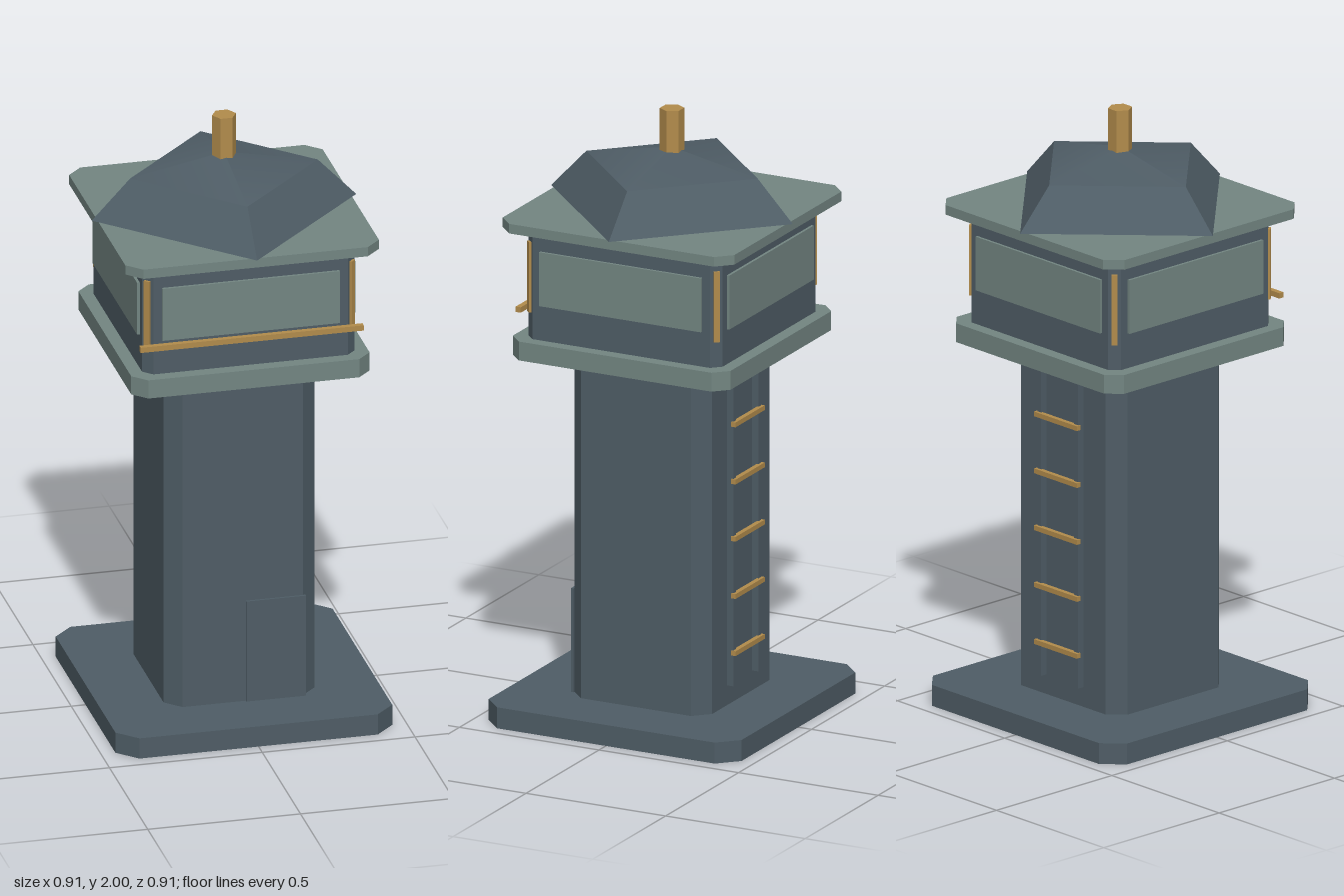
import * as THREE from 'three';

const material = (name, color) => {
  const m = new THREE.MeshStandardMaterial({ color });
  m.name = name;
  return m;
};

export function createModel() {
  const slate = material('slate', 0x4f5d66);
  const pale = material('paleGreenGrey', 0x738682);
  const brass = material('brass', 0xb28c4c);
  const tower = new THREE.Group();
  tower.name = 'watchtower';

  const add = (name, geometry, mat, x = 0, y = 0, z = 0, parent = tower) => {
    const mesh = new THREE.Mesh(geometry, mat);
    mesh.name = name;
    mesh.position.set(x, y, z);
    parent.add(mesh);
    return mesh;
  };
  const box = (w, h, d) => new THREE.BoxGeometry(w, h, d);

  // Square block with cut corners: half width r, cut c, from y0 to y1
  const block = (name, r, c, y0, y1, mat) => {
    const k = r - c;
    const corners = [[r, -k], [r, k], [k, r], [-k, r], [-r, k], [-r, -k], [-k, -r], [k, -r]];
    const shape = new THREE.Shape(corners.map(([x, y]) => new THREE.Vector2(x, y)));
    const g = new THREE.ExtrudeGeometry(shape, { depth: y1 - y0, bevelEnabled: false });
    return add(name, g.rotateX(-Math.PI / 2), mat, 0, y0);
  };
  // Few-sided cylinder with hard edges
  const prism = (top, bottom, height, sides, open = false) => {
    const g = new THREE.CylinderGeometry(top, bottom, height, sides, 1, open).toNonIndexed();
    g.computeVertexNormals();
    return g;
  };

  // Main body, bottom to top
  block('base', 0.453, 0.063, 0, 0.07, slate);
  block('shaft', 0.247, 0.05, 0.07, 1.22, slate);
  block('deck', 0.39, 0.045, 1.217, 1.28, pale);
  block('cabin', 0.348, 0.03, 1.28, 1.645, slate);
  block('eaves', 0.415, 0.048, 1.645, 1.677, pale);

  // Roof turned corner-on to the walls, with a shallow cap
  add('roofSkirt', prism(0.307, 0.433, 0.133, 4), slate, 0, 1.7435);
  add('roofCap', new THREE.ConeGeometry(0.307, 0.06, 4), slate, 0, 1.84);
  const chimney = prism(0.039, 0.039, 0.18, 6).rotateY(Math.PI / 6);
  add('chimney', chimney, brass, 0, 1.91);

  // A window on each side and a brass strip on each cabin corner
  for (let i = 0; i < 4; i++) {
    const side = new THREE.Group();
    side.name = 'cabinSide';
    side.rotation.y = i * Math.PI / 2;
    tower.add(side);
    add('window', box(0.58, 0.18, 0.009), pale, 0, 1.487, 0.3525, side);
    const strip = add('cornerStrip', box(0.02, 0.235, 0.016), brass, 0.333, 1.483, 0.333, side);
    strip.rotation.y = Math.PI / 4;
  }
  add('handrail', box(0.73, 0.018, 0.018), brass, 0, 1.377, 0.36);

  // Door
  add('door', box(0.195, 0.347, 0.009), slate, 0.107, 0.2435, 0.25);

  // Ladder on the back
  for (const s of [-1, 1]) add('ladderRail', box(0.018, 1.05, 0.024), slate, s * 0.086, 0.661, -0.258);
  for (let i = 0; i < 5; i++) add('ladderRung', box(0.2, 0.016, 0.016), brass, 0, 0.248 + i * 0.191, -0.272);

  return tower;
}
